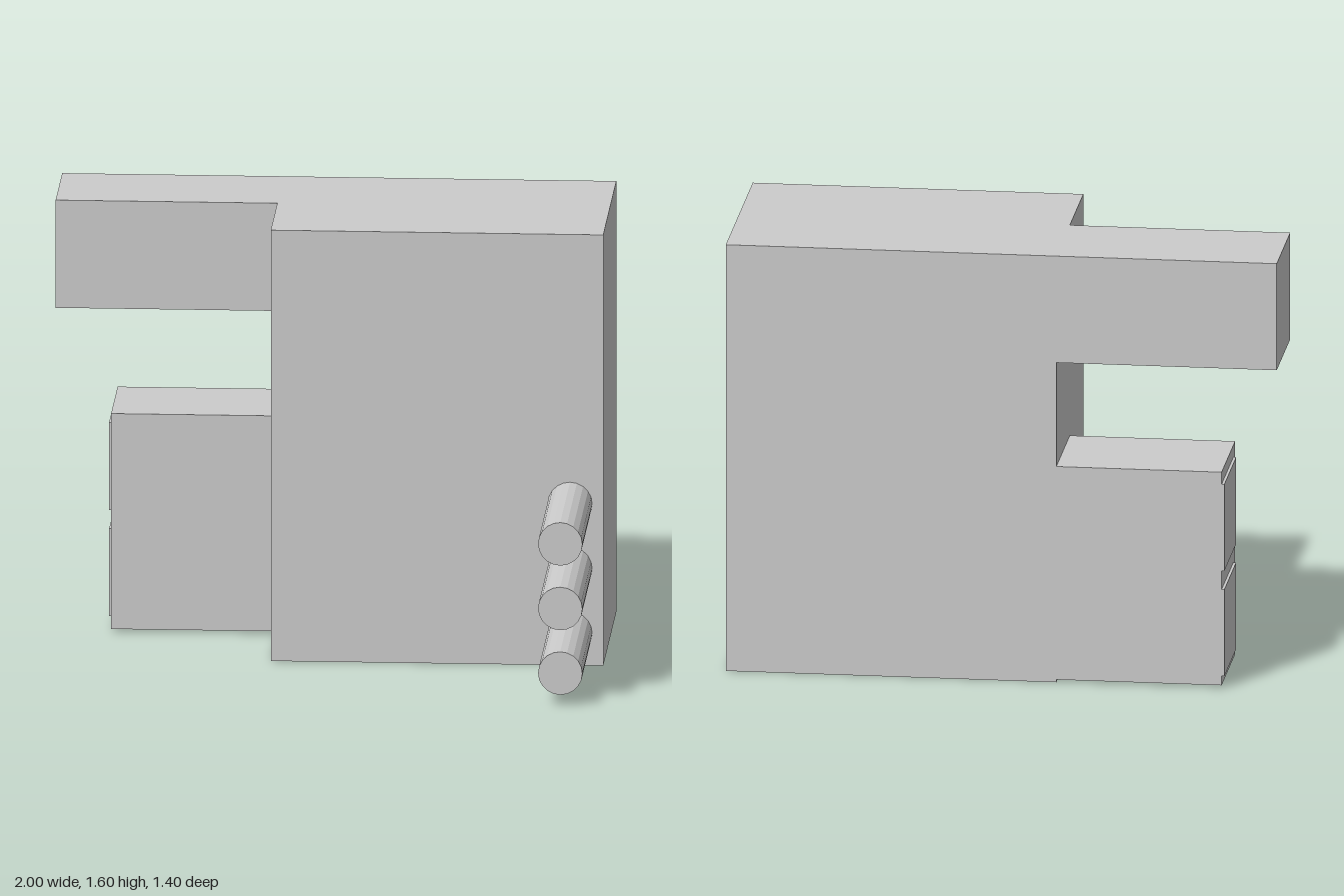
import * as THREE from 'three';

const grey = new THREE.MeshStandardMaterial({ color: 0xcccccc, flatShading: true });

// Box given by its [min, max] extent on each axis
function block(name, [x0, x1], [y0, y1], [z0, z1]) {
  const mesh = new THREE.Mesh(new THREE.BoxGeometry(x1 - x0, y1 - y0, z1 - z0), grey);
  mesh.position.set((x0 + x1) / 2, (y0 + y1) / 2, (z0 + z1) / 2);
  mesh.name = name;
  return mesh;
}

export function createModel() {
  const model = new THREE.Group();
  model.name = 'blockWithPins';

  // Main body and the two arms, flush at the back
  model.add(
    block('body', [-0.2, 1], [0, 1.6], [-0.7, 0.1]),
    block('upperArm', [-1, -0.2], [1.2, 1.6], [-0.7, -0.3]),
    block('lowerArm', [-0.8, -0.2], [0.01, 0.81], [-0.7, -0.3])
  );

  // Thin raised pads on the end of the lower arm
  for (const y of [0.045, 0.44]) {
    model.add(block('endPad', [-0.81, -0.8], [y, y + 0.325], [-0.7, -0.35]));
  }

  // Three round pins on the front
  const pinGeometry = new THREE.CylinderGeometry(0.08, 0.08, 0.6, 20).rotateX(Math.PI / 2);
  for (const y of [0.12, 0.36, 0.6]) {
    const pin = new THREE.Mesh(pinGeometry, grey);
    pin.position.set(0.88, y, 0.4);
    pin.name = 'pin';
    model.add(pin);
  }

  return model;
}
